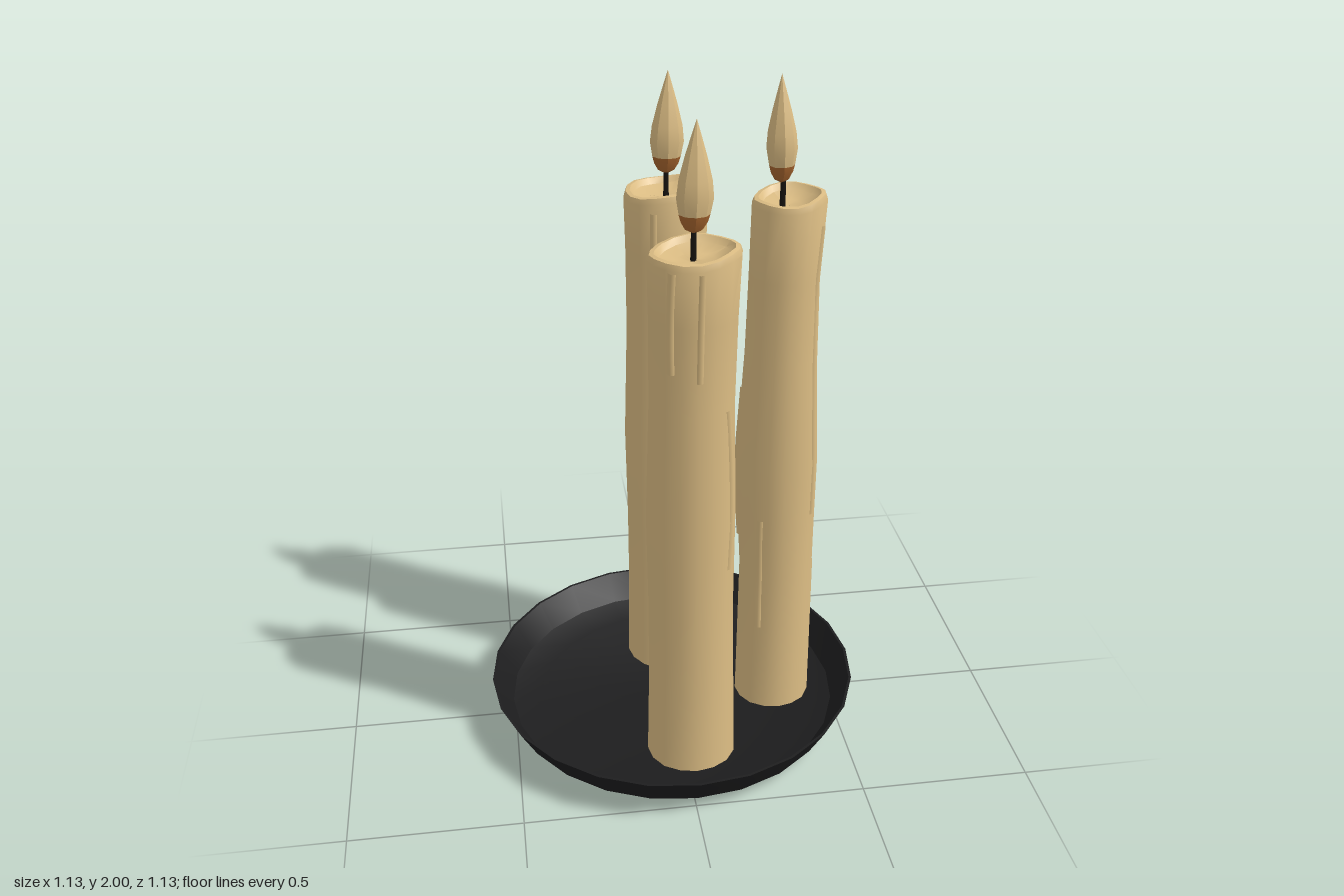
import * as THREE from 'three';
import { toCreasedNormals } from 'three/addons/utils/BufferGeometryUtils.js';

const mat = (name, color) => new THREE.MeshStandardMaterial({ name, color });

// Cross-section spans up each candle: y, xMin, xMax, zMin, zMax
const SIDE = [
  [0.02, -0.11, 0.155, 0.122, 0.382],
  [0.3, -0.105, 0.148, 0.13, 0.378],
  [0.55, -0.105, 0.142, 0.138, 0.375],
  [0.85, -0.11, 0.143, 0.13, 0.382],
  [1.2, -0.1, 0.134, 0.14, 0.37],
  [1.45, -0.1, 0.138, 0.143, 0.372],
  [1.61, -0.103, 0.145, 0.143, 0.376],
];
const MIDDLE = [
  [0.02, 0.205, 0.44, -0.12, 0.12],
  [0.5, 0.21, 0.435, -0.11, 0.115],
  [0.68, 0.2, 0.436, -0.118, 0.115],
  [0.87, 0.193, 0.436, -0.125, 0.12],
  [1.2, 0.208, 0.417, -0.107, 0.115],
  [1.45, 0.215, 0.413, -0.11, 0.112],
  [1.655, 0.219, 0.426, -0.112, 0.112],
];

// Point on the wax at an angle and height; flip mirrors it in z
function waxPoint(rings, angle, y, flip, inset = 0) {
  let i = 0;
  while (i < rings.length - 2 && y > rings[i + 1][0]) i++;
  const t = THREE.MathUtils.clamp((y - rings[i][0]) / (rings[i + 1][0] - rings[i][0]), 0, 1);
  const [x0, x1, z0, z1] = [1, 2, 3, 4].map((k) => THREE.MathUtils.lerp(rings[i][k], rings[i + 1][k], t));
  const a = flip * angle;
  const wobble = 1 + 0.018 * Math.sin(3 * a + 5 * y) * Math.sin(2 * a) ** 2;
  const rx = (x1 - x0) / 2 - inset, rz = (z1 - z0) / 2 - inset;
  return new THREE.Vector3(
    (x0 + x1) / 2 + rx * wobble * Math.cos(a), y,
    flip * ((z0 + z1) / 2 + rz * wobble * Math.sin(a)));
}

// Wax column with a rounded, slightly tilted rim and a hollow top
function waxGeometry(rings, flip) {
  const n = 16, top = rings.at(-1)[0], pos = [], index = [];
  const rows = rings.map((r) => [r[0], 0, 0]);
  rows.push([top, 0.006, 0.016], [top, 0.018, 0.018], [top, 0.03, 0.002], [top, 0.07, -0.012], [top, 0.115, -0.014]);
  rows.forEach(([y, inset, lift], r) => {
    for (let j = 0; j < n; j++) {
      const a = (j / n) * Math.PI * 2;
      const p = waxPoint(rings, a, y, flip, inset);
      const tilt = r >= rings.length - 1 ? 0.009 * Math.cos(a) + 0.004 * Math.sin(3 * flip * a) : 0;
      pos.push(p.x, p.y + lift + tilt * (inset < 0.05 ? 1 : 0.3), p.z);
      if (r === 0) continue;
      const k = (j + 1) % n, lo = (r - 1) * n, hi = r * n;
      index.push(lo + j, hi + j, lo + k, lo + k, hi + j, hi + k);
    }
  });
  const g = new THREE.BufferGeometry();
  g.setAttribute('position', new THREE.Float32BufferAttribute(pos, 3));
  g.setIndex(index);
  return toCreasedNormals(g, 0.6);
}

// Thin run of wax, mostly sunk into the column
function dripGeometry(rings, flip, [angle, yTop, yEnd, bend]) {
  const pts = [];
  for (let i = 0; i <= 5; i++) {
    const t = i / 5;
    const a = flip * (angle + bend * Math.sin(t * 2.5));
    pts.push(waxPoint(rings, a, THREE.MathUtils.lerp(yTop, yEnd, t), flip, 0.009));
  }
  return new THREE.TubeGeometry(new THREE.CatmullRomCurve3(pts), 12, 0.013, 6);
}

const lathe = (pts, n, crease) =>
  toCreasedNormals(new THREE.LatheGeometry(pts.map((p) => new THREE.Vector2(...p)), n), crease);

export function createModel() {
  const wax = mat('wax', 0xdcbd84);
  const ember = mat('emberOrange', 0xa8662f);
  const black = mat('blackMetal', 0x1d1d1e);
  const wickBlack = mat('wickBlack', 0x15120f);

  const model = new THREE.Group();
  model.name = 'candlePlate';
  const add = (parent, name, geo, material) => {
    const m = new THREE.Mesh(geo, material);
    m.name = name;
    parent.add(m);
    return m;
  };

  // Shallow flared dish
  add(model, 'dish', lathe([
    [0, 0], [0.42, 0], [0.515, 0.042], [0.566, 0.135],
    [0.558, 0.135], [0.505, 0.052], [0.42, 0.025], [0, 0.02],
  ], 24, 0.4), black);

  const flameBase = [[0, 0], [0.024, 0.012], [0.036, 0.032], [0.042, 0.052]];
  const flameBody = [[0.042, 0.052], [0.05, 0.095], [0.045, 0.14], [0.03, 0.198], [0.014, 0.25], [0, 0.294]];

  function candle(name, rings, flip, drips, flame, wickX) {
    const group = new THREE.Group();
    group.name = name;
    model.add(group);
    add(group, 'waxColumn', waxGeometry(rings, flip), wax);
    drips.forEach((d) => add(group, 'waxDrip', dripGeometry(rings, flip, d), wax));

    // Wick
    const [x, y, z, width, depth] = flame;
    const wick = add(group, 'wick', new THREE.CylinderGeometry(0.007, 0.009, 0.1, 6), wickBlack);
    wick.position.set(wickX, y - 0.03, z);

    // Flame with a darker foot, its tip leaning slightly
    for (const [part, profile, material] of [['flameFoot', flameBase, ember], ['flame', flameBody, wax]]) {
      const m = add(group, part, lathe(profile, 9, 0.5), material);
      m.position.set(x, y, z);
      m.scale.set(width, 1, depth);
      m.rotation.z = wickX > x ? 0.03 : -0.02;
    }
  }

  // Drips: angle from +x towards +z, top, end, bend
  const sideDrips = [
    [2.2, 1.6, 1.32, 0.05], [1.55, 1.6, 1.3, 0], [0.75, 1.2, 0.7, -0.15],
    [-0.6, 1.3, 0.75, 0.1], [-2.0, 1.58, 1.2, 0],
  ];
  const middleDrips = [[2.2, 0.7, 0.32, 0.05], [0.55, 1.6, 0.7, 0.15], [-1.2, 1.5, 0.95, 0.1], [0, 0.5, 0.1, 0], [3.2, 1.1, 0.6, 0.1]];

  for (const flip of [1, -1]) {
    candle(flip > 0 ? 'frontCandle' : 'backCandle', SIDE, flip, sideDrips,
      [0.019, 1.666, flip * 0.252, 0.98, 0.84], 0.019);
  }
  candle('leftCandle', MIDDLE, 1, middleDrips, [0.298, 1.706, 0, 0.86, 0.92], 0.303);
  return model;
}
